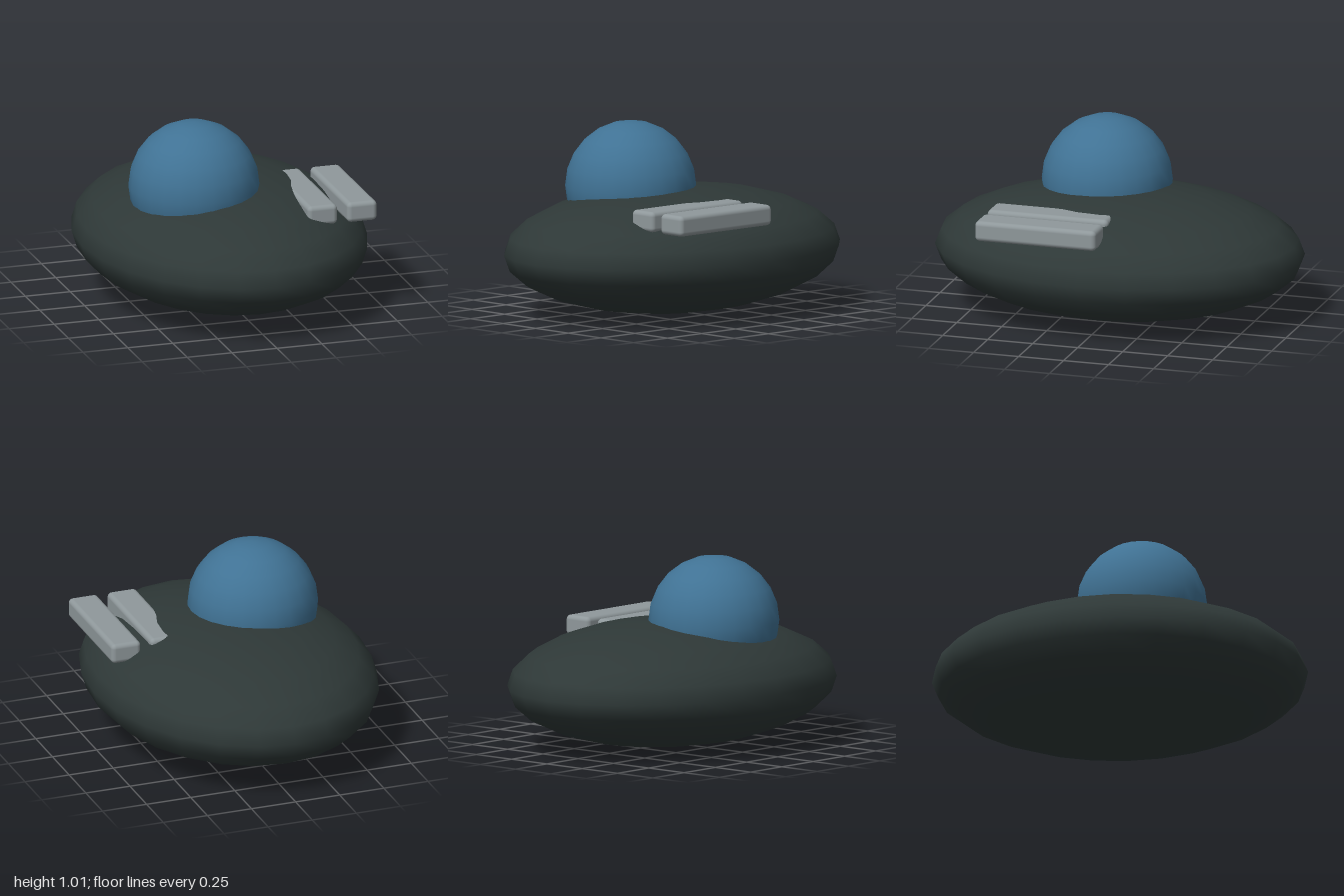
import * as THREE from 'three';
import { RoundedBoxGeometry } from 'three/addons/geometries/RoundedBoxGeometry.js';

const material = (name, color) => {
  const m = new THREE.MeshStandardMaterial({ color });
  m.name = name;
  return m;
};

export function createModel() {
  const group = new THREE.Group();
  const darkShell = material('dark shell', 0x2e3837);
  const blueGlass = material('blue glass', 0x407294);
  const paleGrey = material('pale grey', 0x8f989b);

  const add = (name, geometry, mat, x, y, z) => {
    const mesh = new THREE.Mesh(geometry, mat);
    mesh.name = name;
    mesh.position.set(x, y, z);
    group.add(mesh);
    return mesh;
  };

  // Flattened oval body
  const hull = new THREE.SphereGeometry(1, 24, 12);
  hull.scale(0.765, 0.335, 1);
  add('body', hull, darkShell, 0, 0.338, 0);

  // Ball sunk into the body, off to one side
  add('dome', new THREE.SphereGeometry(0.348, 24, 12), blueGlass, -0.183, 0.665, 0.128);

  // Two parallel bars, partly sunk into the body
  for (const [name, x] of [['innerBar', 0.388], ['outerBar', 0.608]]) {
    add(name, new RoundedBoxGeometry(0.166, 0.11, 0.672, 3, 0.025), paleGrey, x, 0.575, 0.258);
  }

  return group;
}
